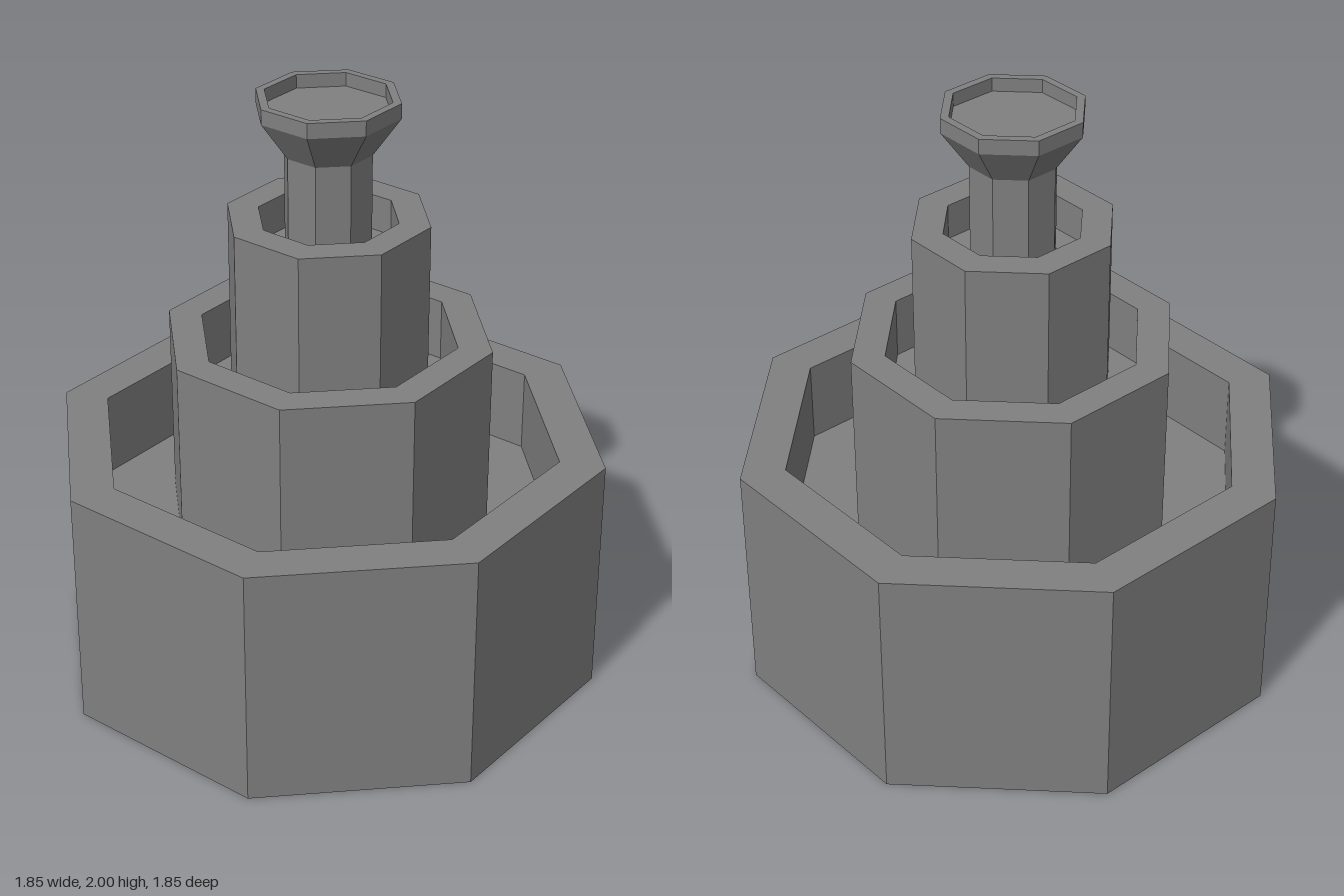
import * as THREE from 'three';

const SIDES = 8;

export function createModel() {
  const model = new THREE.Group();
  const stone = new THREE.MeshStandardMaterial({ color: 0x808080, flatShading: true });
  stone.name = 'grey stone';

  // Eight-sided solid turned from [radius, height] points, running up the outside and in to the axis
  function turned(name, profile) {
    const points = profile.map(([r, y]) => new THREE.Vector2(r, y));
    const geometry = new THREE.LatheGeometry(points, SIDES).toNonIndexed();
    geometry.computeVertexNormals();
    const mesh = new THREE.Mesh(geometry, stone);
    mesh.name = name;
    model.add(mesh);
  }

  // Tier with a rim around a sunken floor
  const tier = (outer, inner, bottom, top, floor) => [
    [outer, bottom], [outer, top], [inner, top], [inner, floor], [0, floor],
  ];

  turned('baseBasin', [[0, 0], ...tier(0.925, 0.775, 0, 0.825, 0.54)]);
  turned('middleBasin', tier(0.543, 0.43, 0.54, 1.19, 0.98));
  turned('upperBasin', tier(0.333, 0.23, 0.98, 1.6, 1.48));

  // Slim column flaring into a shallow bowl
  turned('columnAndBowl', [
    [0.143, 1.48], [0.143, 1.82], [0.233, 1.95], [0.233, 2], [0.205, 2], [0.205, 1.955], [0, 1.955],
  ]);

  return model;
}
